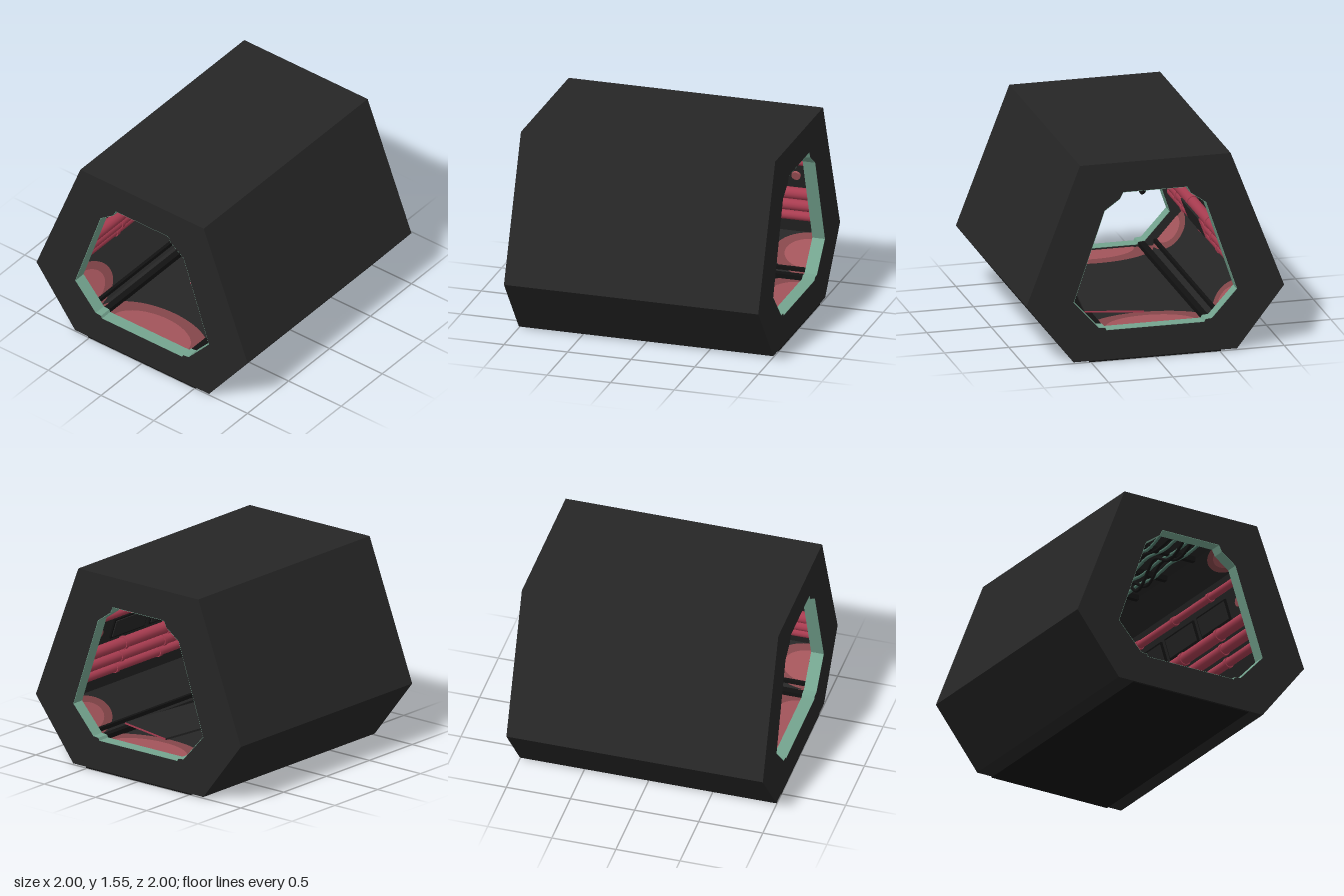
import * as THREE from 'three';

const mat = (name, color) => {
  const m = new THREE.MeshStandardMaterial({ color, side: THREE.DoubleSide });
  m.name = name;
  return m;
};

export function createModel() {
  const hull = mat('charcoal hull', 0x262626);
  const black = mat('black trim', 0x121212);
  const teal = mat('teal edge', 0x74a48f);
  const darkTeal = mat('dark teal cable', 0x4f7a6b);
  const crimson = mat('crimson pipe', 0xa83c50);
  const rose = mat('rose glow', 0xa2545a);
  const darkRose = mat('dark rose glow', 0x84464a);

  const root = new THREE.Group();
  const add = (name, geometry, material, x = 0, y = 0, z = 0) => {
    const mesh = new THREE.Mesh(geometry, material);
    mesh.name = name;
    mesh.position.set(x, y, z);
    root.add(mesh);
    return mesh;
  };
  // Closed left-right symmetric outline from its +x half, listed top to bottom
  const mirrored = (half) =>
    [...half, ...half.slice().reverse().map(([x, y]) => [-x, y])].map(([x, y]) => new THREE.Vector2(x, y));
  const ring = (outer, hole, depth) => {
    const shape = new THREE.Shape(outer);
    shape.holes.push(new THREE.Path(hole));
    return new THREE.ExtrudeGeometry(shape, { depth, bevelEnabled: false });
  };

  const outer = mirrored([[0.585, 1.555], [1, 0.48], [0.635, 0.01]]);
  const cavity = mirrored([[0.3, 1.38], [0.48, 1.23], [0.73, 0.48], [0.5, 0.22]]);
  const opening = mirrored([[0.25, 1.32], [0.275, 1.27], [0.395, 1.185], [0.635, 0.48],
    [0.44, 0.265], [0.39, 0.26], [0.38, 0.24]]);
  const lipInner = opening.map((p) => new THREE.Vector2(p.x * 0.994, 0.75 + (p.y - 0.75) * 0.994));

  // Hexagonal tunnel, its two end frames and the teal lining of each opening
  add('tunnelShell', ring(outer, cavity, 1.8), hull, 0, 0, -0.9);
  for (const z of [-1, 0.9]) {
    add('endFrame', ring(outer, opening, 0.1), hull, 0, 0, z);
    add('openingLining', ring(opening, lipInner, 0.098), teal, 0, 0, z + 0.001);
  }
  add('basePlate', new THREE.BoxGeometry(1.02, 0.01, 2), black, 0, 0.005, 0);

  // Half-round glow patches on the inner panels, beside each end frame
  const glow = (p, q, end, depth) => {
    const mid = new THREE.Vector3((p[0] + q[0]) / 2, (p[1] + q[1]) / 2, end * 0.9);
    const half = Math.hypot(q[0] - p[0], q[1] - p[1]) / 2;
    const along = new THREE.Vector3(q[0] - p[0], q[1] - p[1], 0).normalize();
    const normal = new THREE.Vector3(-along.y, along.x, 0);
    if (normal.dot(new THREE.Vector3(-mid.x, 0.75 - mid.y, 0)) < 0) normal.negate();
    const inward = new THREE.Vector3(0, 0, -end);
    const across = inward.clone().cross(normal);
    [[1, darkRose, 0.004], [0.7, rose, 0.008]].forEach(([s, material, lift]) => {
      const g = new THREE.CircleGeometry(1, 32, 0, Math.PI).scale(half * s, depth * s, 1);
      g.applyMatrix4(new THREE.Matrix4().makeBasis(across, inward, normal));
      const at = mid.clone().addScaledVector(normal, lift);
      add('glowPatch', g, material, at.x, at.y, at.z);
    });
  };
  for (const end of [-1, 1]) {
    glow([-0.5, 0.22], [0.5, 0.22], end, 0.3);
    for (const s of [-1, 1]) {
      glow([s * 0.5, 0.22], [s * 0.73, 0.48], end, 0.3);
      glow([s * 0.3, 1.38], [s * 0.48, 1.23], end, 0.25);
    }
  }

  // Side walls: pipes, clamps, raised panels, lamps and floor curbs
  const wallX = (y) => 0.73 - (y - 0.48) / 3;
  const lean = Math.atan(1 / 3);
  for (const s of [-1, 1]) {
    for (const [y, r] of [[0.64, 0.035], [0.74, 0.042], [0.85, 0.045], [1.14, 0.03]]) {
      const x = s * (wallX(y) - r * 0.9);
      add('wallPipe', new THREE.CylinderGeometry(r, r, 1.8, 16).rotateX(Math.PI / 2), crimson, x, y, 0);
      for (const z of [-0.5, 0, 0.5]) {
        add('pipeCollar', new THREE.CylinderGeometry(r + 0.007, r + 0.007, 0.03, 16).rotateX(Math.PI / 2),
          crimson, x, y, z);
      }
    }
    for (const z of [-0.45, 0, 0.45]) {
      add('wallPanelBorder', new THREE.BoxGeometry(0.02, 0.17, 0.4), black, s * (wallX(1) - 0.005), 1, z)
        .rotation.z = s * lean;
      add('wallPanel', new THREE.BoxGeometry(0.03, 0.14, 0.37), hull, s * (wallX(1) - 0.007), 1, z)
        .rotation.z = s * lean;
    }
    for (const z of [-0.8, 0.8]) {
      add('wallLamp', new THREE.CylinderGeometry(0.035, 0.035, 0.02, 20).rotateZ(Math.PI / 2 + s * lean),
        rose, s * (wallX(1) - 0.01), 1, z);
    }
    add('floorCurb', new THREE.BoxGeometry(0.05, 0.04, 1.8), black, s * 0.415, 0.24, 0);
    add('cornerRail', new THREE.BoxGeometry(0.025, 0.03, 1.8), black, s * 0.52, 0.26, 0);
  }

  // Loose plates with crimson ends: one on the floor, one against the right wall
  const plate = (name, w, h, d, x, y, z) => {
    const m = add(name, new THREE.BoxGeometry(w, h, d), [hull, hull, hull, hull, crimson, crimson], x, y, z);
    return m;
  };
  plate('looseFloorPlate', 0.45, 0.015, 0.95, 0.165, 0.262, -0.18).rotation.set(0, -0.125, 0.045);
  plate('looseWallPlate', 0.014, 0.17, 0.5, -0.52, 0.79, -0.2).rotation.z = -0.36;

  // Ceiling: cross ribs and sagging cables
  for (const z of [-0.6, -0.2, 0.2, 0.6]) {
    add('ceilingRib', new THREE.BoxGeometry(0.56, 0.04, 0.04), black, 0, 1.36, z);
  }
  const cables = [[-0.22, 1.31], [-0.18, 1.24], [-0.09, 1.29], [-0.03, 1.32], [0.02, 1.18],
    [0.06, 1.32], [0.1, 1.24], [0.16, 1.32]];
  cables.forEach(([x, low], i) => {
    const points = [];
    for (let k = 0; k <= 8; k++) {
      const y = k % 2 ? (k % 4 === 1 ? low + 0.012 : (low + 1.36) / 2) : 1.36;
      points.push(new THREE.Vector3(x + (k % 2 ? 0 : 0.008 * ((i % 3) - 1)), y, -0.9 + k * 0.225));
    }
    add('hangingCable', new THREE.TubeGeometry(new THREE.CatmullRomCurve3(points), 64, 0.012, 8),
      i % 2 ? darkTeal : black);
  });
  return root;
}
